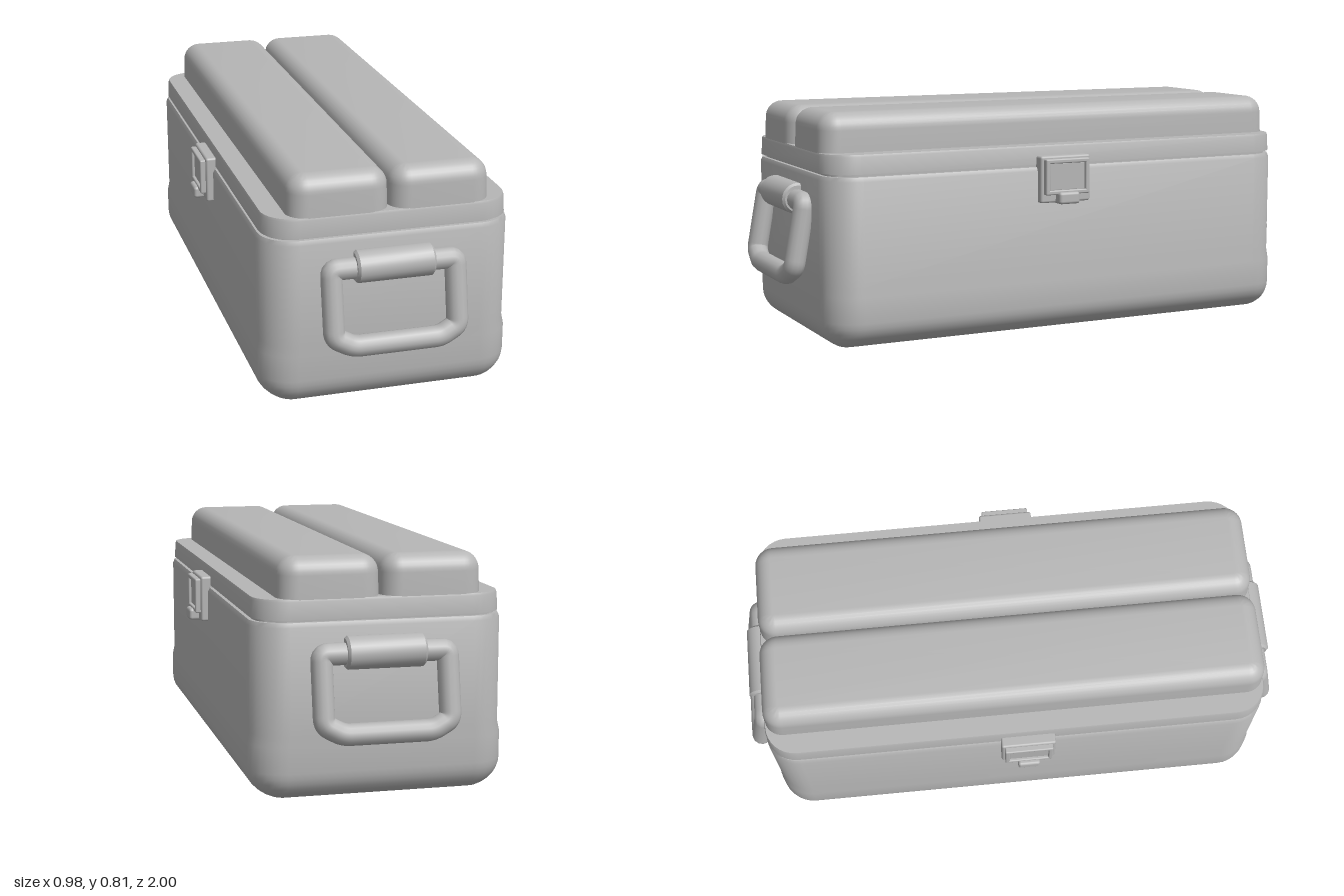
import * as THREE from 'three';
import { toCreasedNormals } from 'three/addons/utils/BufferGeometryUtils.js';
import { RoundedBoxGeometry } from 'three/addons/geometries/RoundedBoxGeometry.js';

const grey = new THREE.MeshStandardMaterial({ color: 0xb6b6b6 });
grey.name = 'grey plastic';

function part(name, geometry, x = 0, y = 0, z = 0) {
  const mesh = new THREE.Mesh(geometry, grey);
  mesh.name = name;
  mesh.position.set(x, y, z);
  return mesh;
}

// Skin over rounded-rectangle rings given as [y, halfX, halfZ, cornerRadius]
function loft(rings, steps = 8) {
  const pos = [], index = [];
  const n = 4 * (steps + 1);
  for (const [y, hx, hz, r] of rings) {
    for (let c = 0; c < 4; c++) {
      const sx = c === 0 || c === 3 ? 1 : -1, sz = c < 2 ? 1 : -1;
      for (let s = 0; s <= steps; s++) {
        const a = (c + s / steps) * Math.PI / 2;
        pos.push(sx * (hx - r) + r * Math.cos(a), y, sz * (hz - r) + r * Math.sin(a));
      }
    }
  }
  for (let i = 0; i < rings.length - 1; i++) {
    for (let j = 0; j < n; j++) {
      const k = (j + 1) % n;
      const a = i * n + j, b = i * n + k, c = a + n, d = b + n;
      index.push(a, c, b, b, c, d);
    }
  }
  const g = new THREE.BufferGeometry();
  g.setAttribute('position', new THREE.Float32BufferAttribute(pos, 3));
  g.setIndex(index);
  return toCreasedNormals(g, 0.6);
}

// Quarter-round rings; bottom fillets curl under, top fillets curl over
function fillet(y0, hx, hz, r, fx, fz, fy, top) {
  const rings = [];
  for (let i = 0; i <= 8; i++) {
    const t = (top ? i : 8 - i) / 8 * Math.PI / 2;
    const k = 1 - Math.cos(t), h = fy * Math.sin(t);
    rings.push([top ? y0 + h : y0 - h, hx - fx * k, hz - fz * k, Math.max(r - fx * k, 0.006)]);
  }
  return rings;
}

function makeBody() {
  return part('body', loft([
    // recessed underside
    [0.14, 0, 0, 0], [0.14, 0.3, 0.8, 0.03], [0, 0.307, 0.805, 0.006],
    // rounded base, walls and upper rim
    ...fillet(0.1, 0.437, 0.902, 0.12, 0.13, 0.097, 0.1, false),
    [0.19, 0.437, 0.902, 0.12], [0.225, 0.43, 0.9, 0.12],
    [0.58, 0.43, 0.9, 0.12], [0.595, 0.423, 0.893, 0.113],
    [0.595, 0.41, 0.88, 0.1], [0.61, 0.41, 0.88, 0.1],
  ]));
}

function makeLid() {
  return part('lid', loft([
    [0.604, 0.4, 0.87, 0.09], [0.604, 0.421, 0.897, 0.11],
    [0.662, 0.418, 0.895, 0.11], [0.67, 0.415, 0.892, 0.107], [0.67, 0, 0, 0],
  ]));
}

function makeCushion(side) {
  return part(side > 0 ? 'leftCushion' : 'rightCushion', loft([
    [0.66, 0.172, 0.893, 0.065],
    ...fillet(0.745, 0.17, 0.89, 0.065, 0.06, 0.06, 0.06, true),
    [0.805, 0, 0, 0],
  ]), side * 0.172);
}

// Side latch, modelled facing +x
function makeLatch(name) {
  const g = new THREE.Group();
  g.name = name;
  g.add(part('latchPlate', new RoundedBoxGeometry(0.045, 0.165, 0.195, 2, 0.008), 0.433, 0.553, 0));
  for (const s of [-1, 1]) {
    g.add(part('latchFrameSide', new RoundedBoxGeometry(0.05, 0.125, 0.016, 2, 0.005), 0.45, 0.563, s * 0.078));
    g.add(part('latchFrameEdge', new RoundedBoxGeometry(0.05, 0.016, 0.172, 2, 0.005), 0.45, 0.563 + s * 0.055, 0));
  }
  g.add(part('latchPanel', new RoundedBoxGeometry(0.04, 0.1, 0.145, 2, 0.005), 0.445, 0.563, 0));
  g.add(part('latchTab', new RoundedBoxGeometry(0.07, 0.042, 0.08, 2, 0.01), 0.455, 0.488, 0));
  return g;
}

// Closed ring through corner points, each corner eased over a short distance
function ringPath(points, ease) {
  const path = new THREE.CurvePath();
  const n = points.length;
  const toward = (a, b) => a.clone().add(b.clone().sub(a).setLength(ease));
  points.forEach((p, i) => {
    const prev = points[(i + n - 1) % n], next = points[(i + 1) % n];
    path.add(new THREE.QuadraticBezierCurve3(toward(p, prev), p, toward(p, next)));
    path.add(new THREE.LineCurve3(toward(p, next), toward(next, p)));
  });
  return path;
}

// Carrying handle hanging outward, modelled facing +z
function makeHandle(name) {
  const g = new THREE.Group();
  g.name = name;
  const at = (x, y) => new THREE.Vector3(x, y, 0.915 + (0.493 - y) * 0.185);
  const corners = [at(0.212, 0.493), at(0.212, 0.27), at(0.15, 0.237),
    at(-0.15, 0.237), at(-0.212, 0.27), at(-0.212, 0.493)];
  g.add(part('handleLoop', new THREE.TubeGeometry(ringPath(corners, 0.022), 180, 0.0365, 14, true)));
  // grip sleeve with softened ends
  const profile = [[0, -0.133], [0.047, -0.133], [0.055, -0.125], [0.055, 0.125], [0.047, 0.133], [0, 0.133]]
    .map(([r, y]) => new THREE.Vector2(r, y));
  const sleeve = toCreasedNormals(new THREE.LatheGeometry(profile, 24), 0.6).rotateZ(Math.PI / 2);
  g.add(part('handleGrip', sleeve, 0, 0.495, 0.911));
  return g;
}

export function createModel() {
  const model = new THREE.Group();
  model.name = 'coolBox';
  model.add(makeBody(), makeLid(), makeCushion(1), makeCushion(-1));

  const leftLatch = makeLatch('leftLatch'), rightLatch = makeLatch('rightLatch');
  rightLatch.rotation.y = Math.PI;
  leftLatch.position.z = rightLatch.position.z = 0.035;

  const frontHandle = makeHandle('frontHandle'), backHandle = makeHandle('backHandle');
  backHandle.rotation.y = Math.PI;

  model.add(leftLatch, rightLatch, frontHandle, backHandle);
  return model;
}
